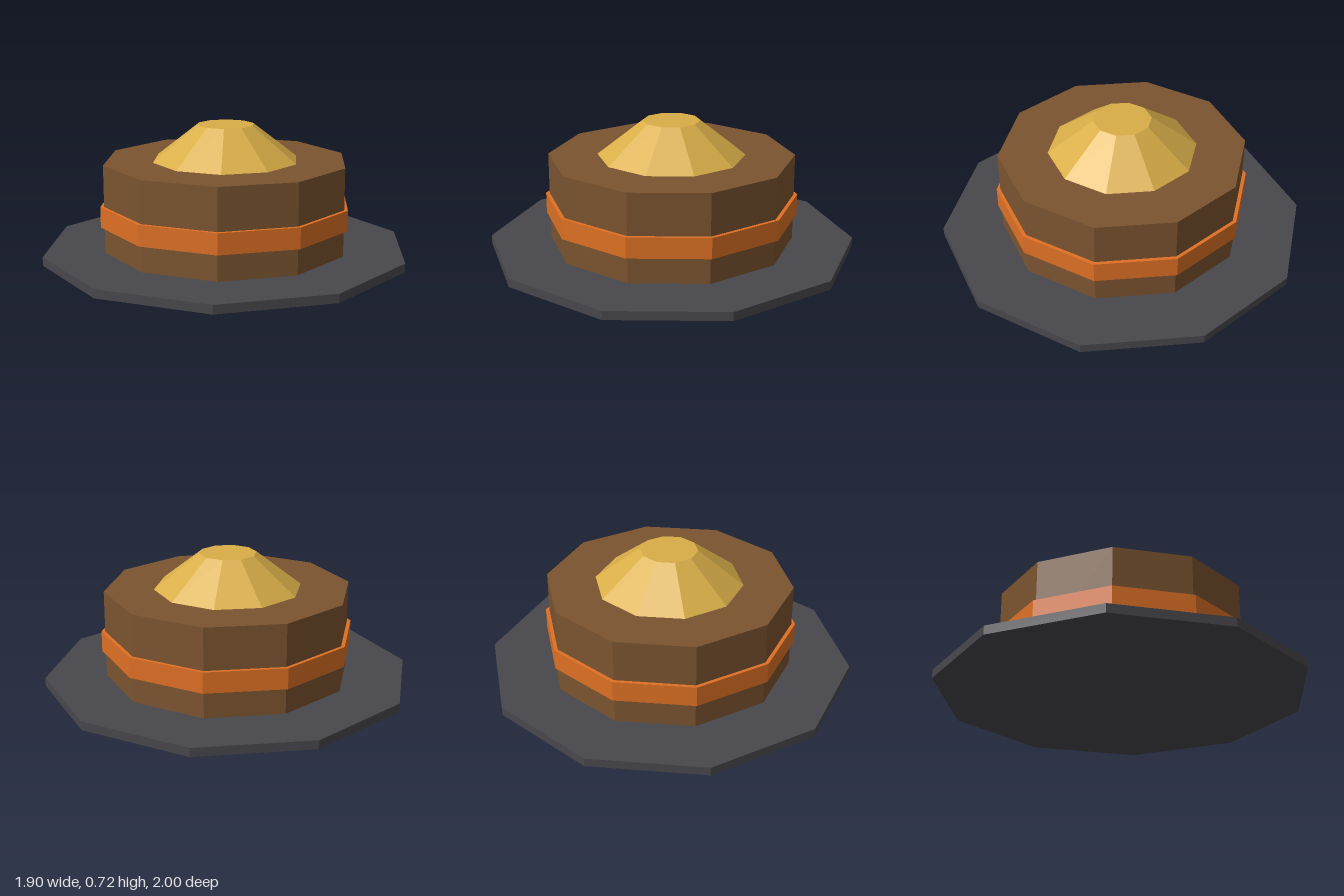
import * as THREE from 'three';

const SIDES = 10;

function material(name, color) {
  const m = new THREE.MeshStandardMaterial({ color, flatShading: true });
  m.name = name;
  return m;
}

export function createModel() {
  const group = new THREE.Group();
  group.name = 'tieredDrum';

  const charcoal = material('charcoal', 0x48474c);
  const brown = material('brown', 0x7b5430);
  const orange = material('orange', 0xde7024);
  const gold = material('gold', 0xd9ae48);

  // Ten-sided tier between two heights, with a corner facing the front
  function tier(name, mat, rBottom, rTop, y0, y1) {
    const geo = new THREE.CylinderGeometry(rTop, rBottom, y1 - y0, SIDES);
    geo.translate(0, (y0 + y1) / 2, 0);
    const mesh = new THREE.Mesh(geo, mat);
    mesh.name = name;
    group.add(mesh);
  }

  tier('basePlate', charcoal, 1, 1, 0, 0.047);
  // Body is sunk into the base plate
  tier('body', brown, 0.667, 0.667, 0.02, 0.525);
  tier('band', orange, 0.687, 0.687, 0.188, 0.3);
  // Tapered cap, sunk flush with the top of the body
  tier('cap', gold, 0.4, 0.155, 0.525, 0.716);

  return group;
}
